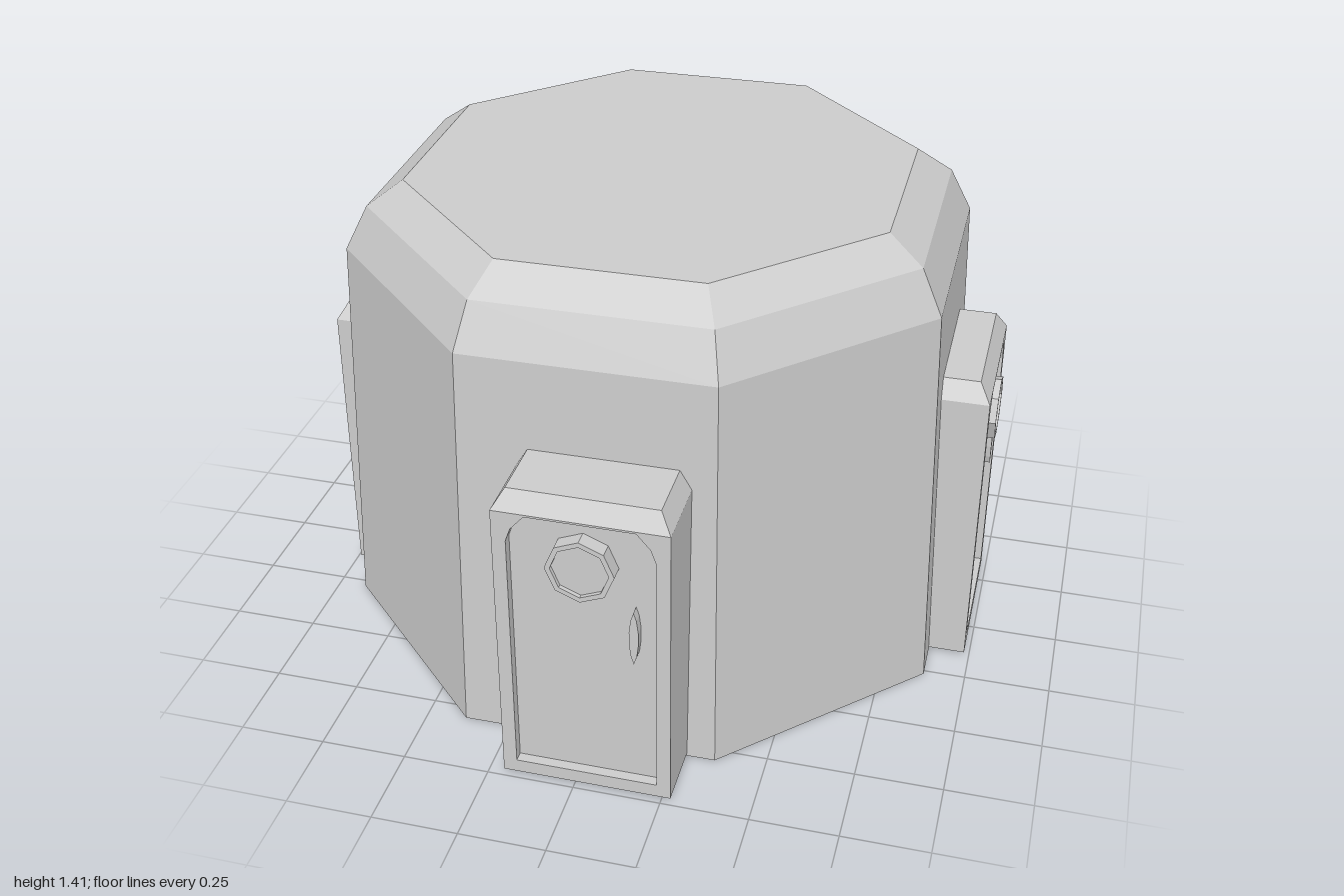
import * as THREE from 'three';

const grey = new THREE.MeshStandardMaterial({ color: 0xcccccc, flatShading: true });

function part(name, geometry, parent) {
  const mesh = new THREE.Mesh(geometry, grey);
  mesh.name = name;
  parent.add(mesh);
  return mesh;
}

const points = (list) => list.map(([x, y]) => new THREE.Vector2(x, y));

// Doorway facing +z, with its front face at z = 0 and its middle at x = 0
function createDoorway(name, depth) {
  const door = new THREE.Group();
  door.name = name;
  const half = 0.241, bottom = 0.01, eaves = 0.89, top = 0.945, recess = 0.03, bevel = 0.033;

  // Front frame with an opening whose upper corners are clipped
  const frame = new THREE.Shape(points([[-half, bottom], [half, bottom], [half, eaves], [-half, eaves]]));
  frame.holes.push(new THREE.Path(points([
    [-0.202, 0.05], [-0.202, 0.80], [-0.188, 0.84], [-0.15, 0.884],
    [0.15, 0.884], [0.188, 0.84], [0.202, 0.80], [0.202, 0.05],
  ])));
  part('doorFrame', new THREE.ExtrudeGeometry(frame, { depth: recess, bevelEnabled: false }), door)
    .position.z = -recess;

  // Solid block behind the frame; its front is the door panel
  const block = new THREE.BoxGeometry(half * 2, eaves - bottom, depth - recess);
  part('doorPanel', block, door).position.set(0, (eaves + bottom) / 2, -(depth + recess) / 2);

  // Cap sloping in at the front and both sides
  const cap = new THREE.BoxGeometry(half * 2, top - eaves, depth);
  const p = cap.attributes.position;
  for (let i = 0; i < p.count; i++) {
    if (p.getY(i) < 0) continue;
    p.setX(i, p.getX(i) - Math.sign(p.getX(i)) * bevel);
    if (p.getZ(i) > 0) p.setZ(i, p.getZ(i) - bevel);
  }
  cap.computeVertexNormals();
  part('doorCap', cap, door).position.set(0, (top + eaves) / 2, -depth / 2);

  // Eight-sided porthole with a raised rim
  const rim = new THREE.LatheGeometry(points([
    [0.095, -recess], [0.095, 0.014], [0.08, 0.014], [0.08, 0.002], [0, 0.002],
  ]), 8);
  rim.rotateX(Math.PI / 2);
  part('porthole', rim, door).position.y = 0.745;

  // Slim lens-shaped handle
  const lens = [[0, -0.085], [0.008, -0.06], [0.013, -0.02], [0.013, 0.02], [0.008, 0.06],
    [0, 0.085], [-0.008, 0.06], [-0.013, 0.02], [-0.013, -0.02], [-0.008, -0.06]];
  part('handle', new THREE.ExtrudeGeometry(new THREE.Shape(points(lens)), { depth: 0.028, bevelEnabled: false }), door)
    .position.set(0.14, 0.545, -recess);
  return door;
}

export function createModel() {
  const model = new THREE.Group();
  model.name = 'octagonalBuilding';

  // Tapered octagonal body with a two-step sloping roof edge; widths are across the flats
  const toCorner = 1 / Math.cos(Math.PI / 8);
  const profile = [[0, 0], [0.897, 0], [0.857, 1.205], [0.795, 1.335], [0.695, 1.41], [0, 1.41]];
  const body = part('body', new THREE.LatheGeometry(
    points(profile.map(([r, y]) => [r * toCorner, y])), 8, Math.PI / 8), model);
  body.position.set(-0.021, 0, -0.101);
  body.rotation.y = 0.007;

  // Doorways on the front and both sides
  const doorways = [
    ['frontDoorway', 0.228, 0.035, 0.985, 0],
    ['leftDoorway', 0.143, 0.985, -0.096, Math.PI / 2],
    ['rightDoorway', 0.105, -0.988, -0.105, -Math.PI / 2],
  ];
  for (const [name, depth, x, z, turn] of doorways) {
    const door = createDoorway(name, depth);
    door.position.set(x, 0, z);
    door.rotation.y = turn;
    model.add(door);
  }
  return model;
}
